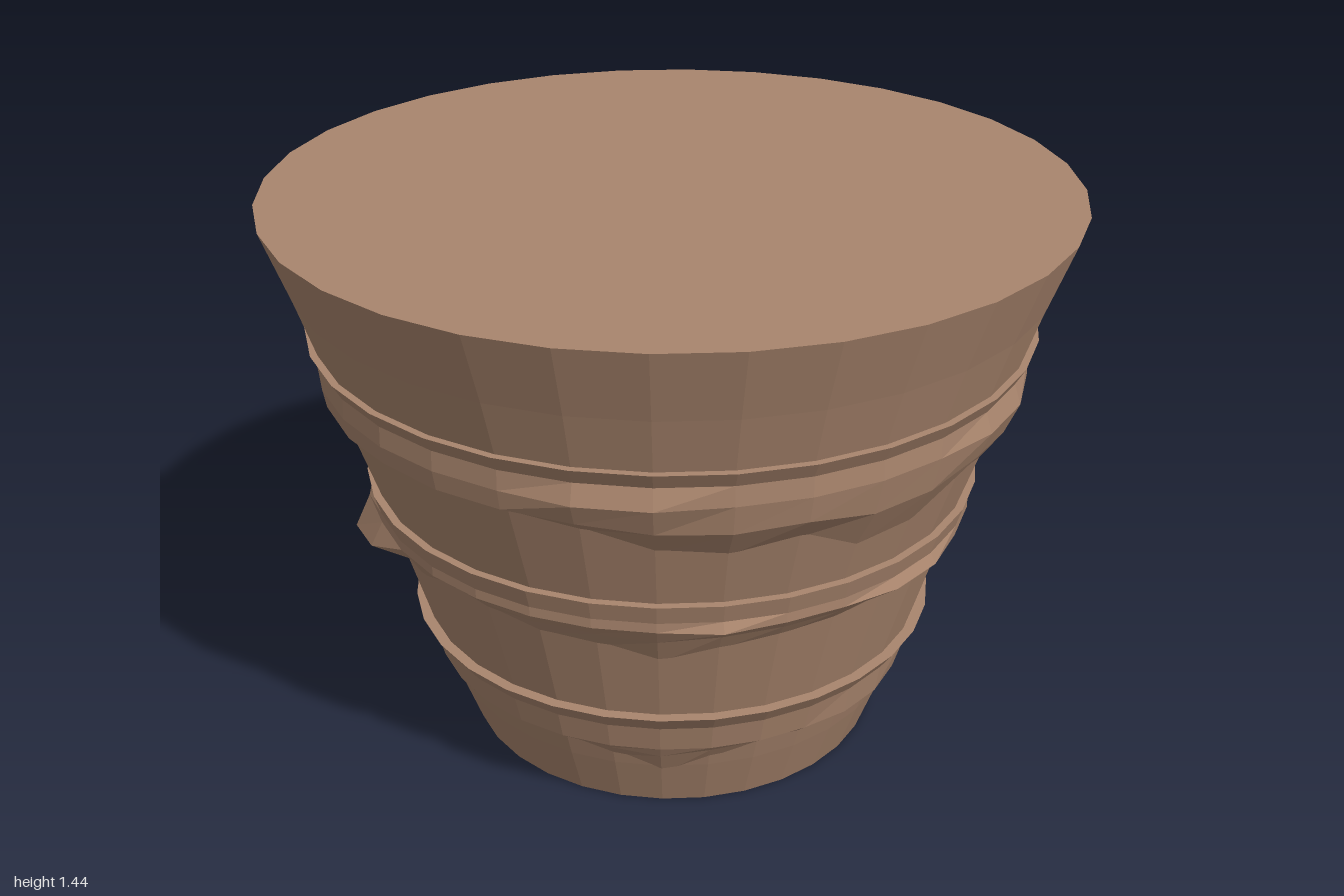
import * as THREE from 'three';

const SIDES = 32;
const material = new THREE.MeshStandardMaterial({ color: 0xa9856d, flatShading: true });

// Trunk profile as [radius, height]
const PROFILE = [[0.54, 0], [0.59, 0.14], [0.655, 0.34], [0.765, 0.72],
  [0.85, 0.98], [0.89, 1.12], [0.935, 1.26], [1, 1.44]];

function trunkRadius(y) {
  const k = PROFILE.findIndex((p) => y <= p[1]);
  const [r0, y0] = PROFILE[k - 1], [r1, y1] = PROFILE[k];
  return r0 + (r1 - r0) * (y - y0) / (y1 - y0);
}

// Skin a stack of rings, bottom to top; each row maps a side index to [radius, height].
// Side 0 faces +z and sides run towards +x.
function loft(name, rows, capped) {
  const positions = [], index = [];
  for (const row of rows) {
    for (let i = 0; i < SIDES; i++) {
      const [r, y] = row(i), a = i / SIDES * Math.PI * 2;
      positions.push(r * Math.sin(a), y, r * Math.cos(a));
    }
  }
  const at = (k, i) => k * SIDES + i % SIDES;
  for (let k = 0; k < rows.length - 1; k++) {
    for (let i = 0; i < SIDES; i++) {
      index.push(at(k, i), at(k, i + 1), at(k + 1, i + 1), at(k, i), at(k + 1, i + 1), at(k + 1, i));
    }
  }
  if (capped) {
    const top = rows.length - 1, centre = positions.length / 3;
    positions.push(0, rows[0](0)[1], 0, 0, rows[top](0)[1], 0);
    for (let i = 0; i < SIDES; i++) {
      index.push(centre, at(0, i + 1), at(0, i), centre + 1, at(top, i), at(top, i + 1));
    }
  }
  const indexed = new THREE.BufferGeometry();
  indexed.setAttribute('position', new THREE.Float32BufferAttribute(positions, 3));
  indexed.setIndex(index);
  const geometry = indexed.toNonIndexed();
  geometry.computeVertexNormals();
  const mesh = new THREE.Mesh(geometry, material);
  mesh.name = name;
  return mesh;
}

// Tent-shaped weight around a side, wrapping round the trunk
function tent(i, centre, width) {
  const d = Math.abs(i - centre) % SIDES;
  return Math.max(0, 1 - Math.min(d, SIDES - d) / width);
}

// Bark collar: a sharp upper lip, a slight ledge, and a ragged hem tucked under.
// Dips are [side, width in sides, depth]; a spike juts out at one side.
function barkCollar({ name, lip, ledge, low, hem, hemOut, base, dips, bumps, bump, spike }) {
  const edge = (i) => base + 0.012 * Math.sin(i * 2.4)
    - Math.max(...dips.map(([side, width, depth]) => depth * tent(i, side, width)));
  const hemHeight = (i) => Math.min(hem + 0.3 * (edge(i) - hem), low[1] - 0.005);
  const jut = (i) => (spike ? tent(i, spike, 1.5) : 0);
  return loft(name, [
    (i) => [trunkRadius(edge(i)) - 0.004, edge(i)],
    (i) => [trunkRadius(hemHeight(i)) + hemOut + 0.1 * jut(i), hemHeight(i) - 0.05 * jut(i)],
    (i) => [low[0] + (bumps.includes(i) ? bump : 0), low[1]],
    () => ledge,
    () => lip,
    () => [trunkRadius(lip[1]) - 0.01, lip[1]],
  ], false);
}

export function createModel() {
  const group = new THREE.Group();
  group.name = 'trunk';
  group.add(loft('trunkBody', PROFILE.map((p) => () => p), true));
  group.add(barkCollar({
    name: 'lowerBark', lip: [0.683, 0.34], ledge: [0.652, 0.295], low: [0.632, 0.22],
    hem: 0.225, hemOut: 0.01, base: 0.202,
    dips: [[4.5, 2, 0.05], [18, 2, 0.04], [22, 2, 0.05], [28, 2, 0.09]],
    bumps: [0, 1, 12, 13, 21], bump: 0.008,
  }));
  group.add(barkCollar({
    name: 'middleBark', lip: [0.785, 0.72], ledge: [0.77, 0.67], low: [0.77, 0.645],
    hem: 0.64, hemOut: 0.015, base: 0.6,
    dips: [[4.7, 4, 0.16], [11, 4, 0.06], [21, 3, 0.1], [28, 3, 0.07]],
    bumps: [0, 1, 10, 11, 20, 21, 29], bump: 0.015, spike: 21.3,
  }));
  group.add(barkCollar({
    name: 'upperBark', lip: [0.908, 1.12], ledge: [0.885, 1.08], low: [0.887, 1.03],
    hem: 0.99, hemOut: 0.028, base: 0.96,
    dips: [[31.5, 2.5, 0.17], [2, 5, 0.09], [11, 2.5, 0.15], [15, 2, 0.09], [18, 3, 0.11], [29, 3, 0.1]],
    bumps: [1, 2, 13, 14, 18, 19, 27, 28], bump: 0.015,
  }));
  return group;
}
